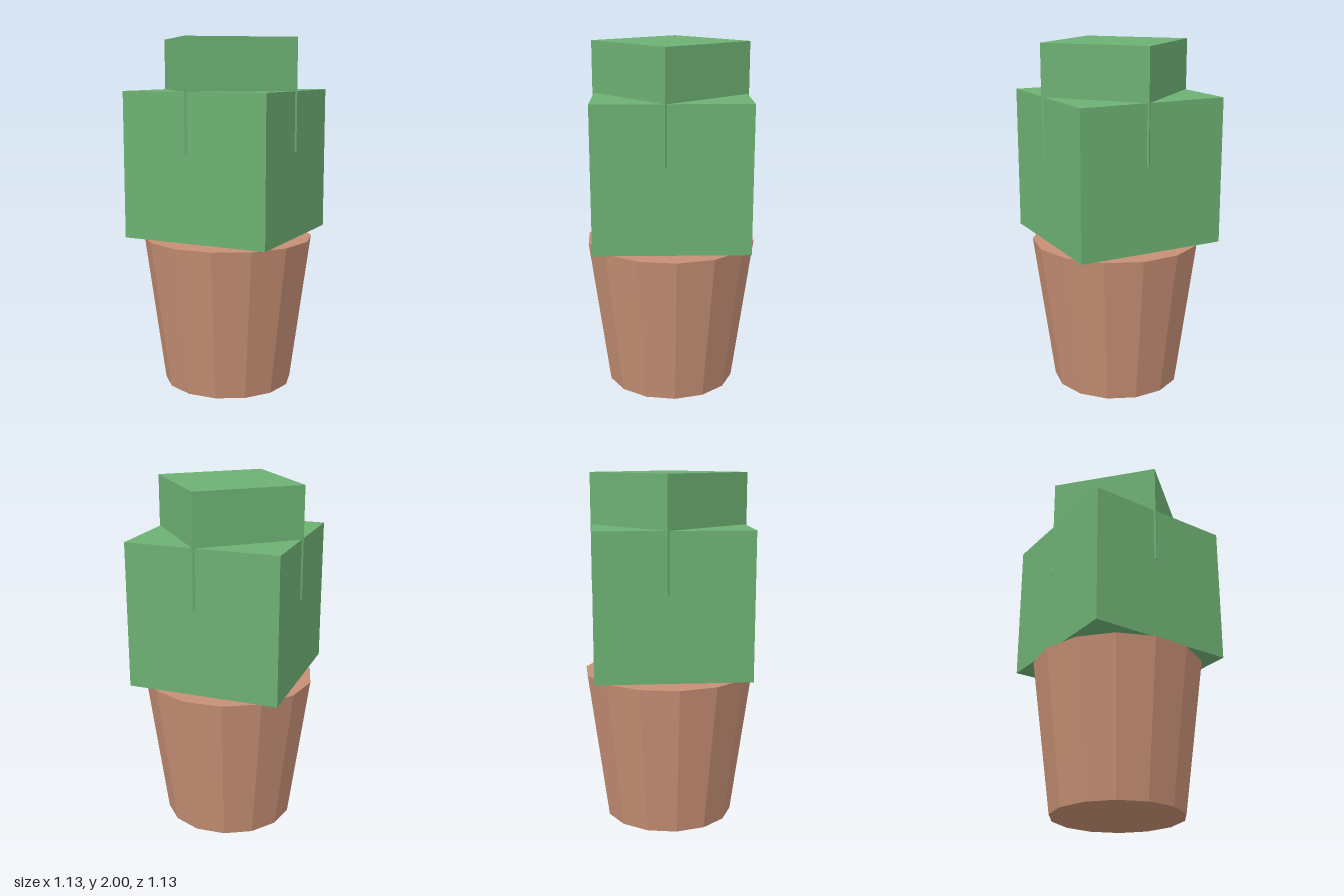
import * as THREE from 'three';

const green = new THREE.MeshStandardMaterial({ name: 'cactus green', color: 0x6db073 });
const terracotta = new THREE.MeshStandardMaterial({ name: 'terracotta', color: 0xc68f74 });

// Square block standing on a given height, turned about the vertical axis
function block(name, side, bottom, top, turn) {
  const mesh = new THREE.Mesh(new THREE.BoxGeometry(side, top - bottom, side), green);
  mesh.name = name;
  mesh.position.y = (bottom + top) / 2;
  mesh.rotation.y = turn;
  return mesh;
}

export function createModel() {
  const model = new THREE.Group();
  model.name = 'pottedCactus';

  // Tapered fourteen-sided pot, faceted
  const potShape = new THREE.CylinderGeometry(0.49, 0.373, 0.865, 14).toNonIndexed();
  potShape.computeVertexNormals();
  const pot = new THREE.Mesh(potShape, terracotta);
  pot.name = 'pot';
  pot.position.y = 0.4325;
  model.add(pot);

  // Two cactus blocks; the upper one sinks in and its corners poke through the sides
  model.add(block('lowerCactusBlock', 0.863, 0.89, 1.71, 0.4));
  model.add(block('upperCactusBlock', 0.625, 1.375, 2, -0.47));

  return model;
}
